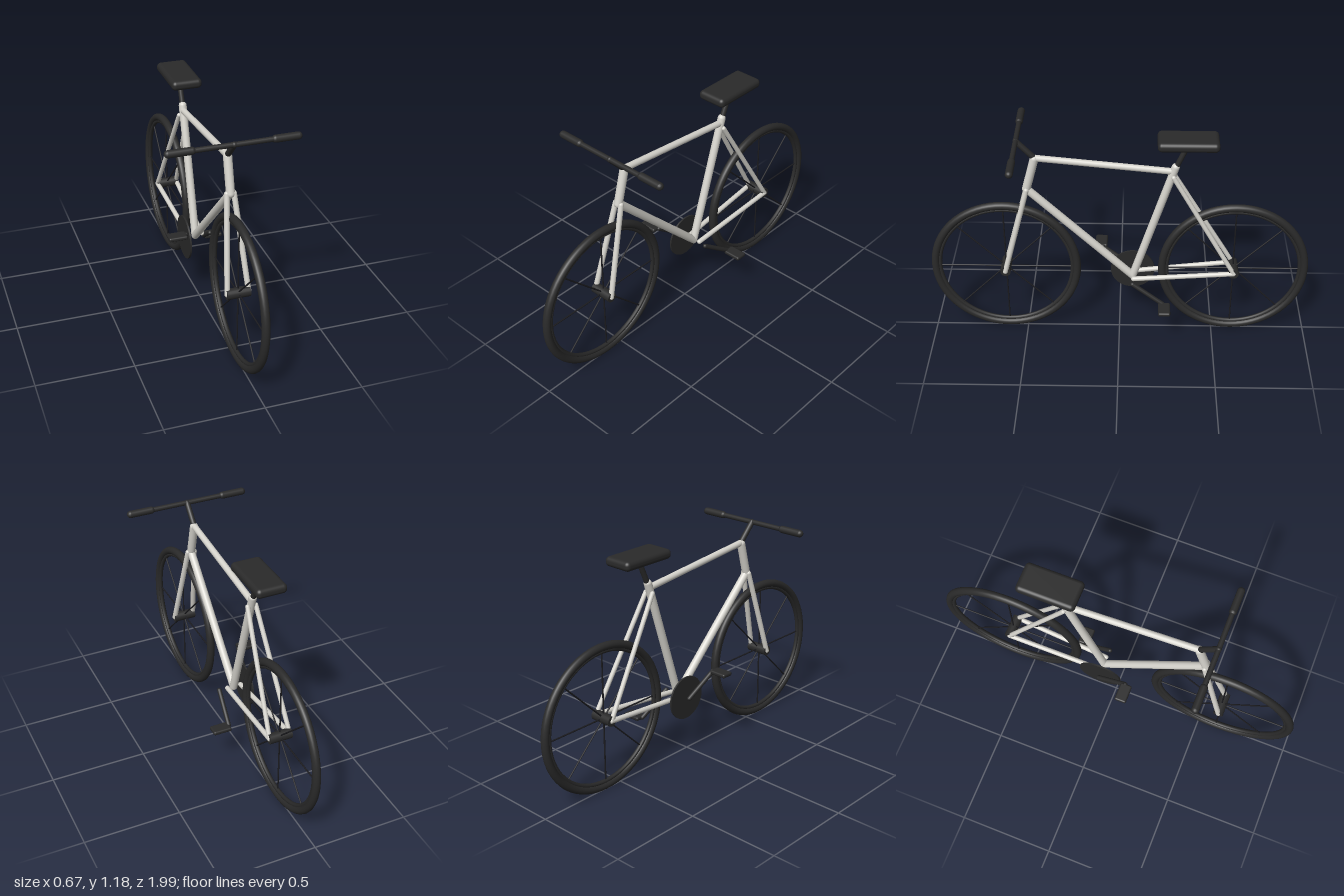
import * as THREE from 'three';
import { RoundedBoxGeometry } from 'three/addons/geometries/RoundedBoxGeometry.js';

export function createModel() {
  const paint = new THREE.MeshStandardMaterial({ color: 0xd6d4cd });
  paint.name = 'framePaint';
  const black = new THREE.MeshStandardMaterial({ color: 0x2a2a2a });
  black.name = 'blackParts';
  const spokeSteel = new THREE.MeshStandardMaterial({ color: 0x1c1c20 });
  spokeSteel.name = 'spokeSteel';

  const bike = new THREE.Group();
  bike.name = 'bicycle';
  const UP = new THREE.Vector3(0, 1, 0);

  function add(parent, name, geometry, material, x = 0, y = 0, z = 0) {
    const mesh = new THREE.Mesh(geometry, material);
    mesh.name = name;
    mesh.position.set(x, y, z);
    parent.add(mesh);
    return mesh;
  }

  // Round-ended tube between two points
  function tube(parent, name, a, b, radius, material) {
    const p = new THREE.Vector3(...a), q = new THREE.Vector3(...b);
    const dir = q.clone().sub(p);
    const mesh = add(parent, name, new THREE.CapsuleGeometry(radius, dir.length(), 5, 16), material);
    mesh.position.copy(p).add(q).multiplyScalar(0.5);
    mesh.quaternion.setFromUnitVectors(UP, dir.normalize());
    return mesh;
  }

  // Wheels: tyre, rim, hub and eight spokes
  function wheel(name, z) {
    const group = new THREE.Group();
    group.name = name;
    group.position.set(0, 0.4, z);
    add(group, 'tyre', new THREE.TorusGeometry(0.375, 0.021, 14, 72), black).rotation.y = Math.PI / 2;
    add(group, 'rim', new THREE.TorusGeometry(0.352, 0.011, 10, 72), black).rotation.y = Math.PI / 2;
    add(group, 'hub', new THREE.CylinderGeometry(0.027, 0.027, 0.12, 20), black).rotation.z = Math.PI / 2;
    for (let i = 0; i < 4; i++) {
      const spokes = add(group, 'spokePair', new THREE.CylinderGeometry(0.004, 0.004, 0.7, 8), spokeSteel);
      spokes.rotation.x = i * Math.PI / 4;
    }
    bike.add(group);
  }
  wheel('frontWheel', 0.6);
  wheel('rearWheel', -0.6);

  // Frame
  const frame = new THREE.Group();
  frame.name = 'frame';
  bike.add(frame);
  const headTop = [0, 1.055, 0.425], headBottom = [0, 0.88, 0.472];
  const crankCentre = [0, 0.345, -0.07], seatJoint = [0, 0.99, -0.272];
  tube(frame, 'headTube', headTop, headBottom, 0.022, paint);
  tube(frame, 'topTube', [0, 1.06, 0.425], seatJoint, 0.017, paint);
  tube(frame, 'downTube', headBottom, crankCentre, 0.021, paint);
  tube(frame, 'seatTube', crankCentre, [0, 1.015, -0.28], 0.021, paint);
  for (const s of [1, -1]) {
    tube(frame, 'forkLeg', [s * 0.018, 0.88, 0.472], [s * 0.055, 0.4, 0.6], 0.014, paint);
    tube(frame, 'seatStay', [s * 0.022, 0.965, -0.272], [s * 0.055, 0.4, -0.6], 0.012, paint);
    tube(frame, 'chainStay', [s * 0.038, 0.348, -0.075], [s * 0.055, 0.4, -0.6], 0.013, paint);
  }

  // Saddle and post
  tube(bike, 'seatPost', seatJoint, [0, 1.15, -0.342], 0.014, black);
  add(bike, 'saddle', new RoundedBoxGeometry(0.16, 0.05, 0.305, 5, 0.022), black, 0, 1.162, -0.34);

  // Stem, handlebar and grips
  tube(bike, 'stem', [0, 1.065, 0.428], [0, 1.155, 0.513], 0.015, black);
  tube(bike, 'handlebar', [-0.31, 1.155, 0.513], [0.31, 1.155, 0.513], 0.013, black);
  for (const s of [1, -1]) {
    tube(bike, 'grip', [s * 0.203, 1.155, 0.513], [s * 0.317, 1.155, 0.513], 0.019, black);
  }

  // Chainring, crank arms and pedals
  const drive = new THREE.Group();
  drive.name = 'drivetrain';
  drive.position.set(...crankCentre);
  bike.add(drive);
  add(drive, 'chainring', new THREE.CylinderGeometry(0.117, 0.117, 0.009, 40), black, -0.06).rotation.z = Math.PI / 2;
  for (const s of [1, -1]) {
    tube(drive, 'crankArm', [s * 0.083, 0, 0], [s * 0.103, s * -0.112, s * -0.16], 0.012, black);
    add(drive, 'pedal', new RoundedBoxGeometry(0.1, 0.022, 0.064, 3, 0.009), black, s * 0.152, s * -0.113, s * -0.168);
  }

  return bike;
}
